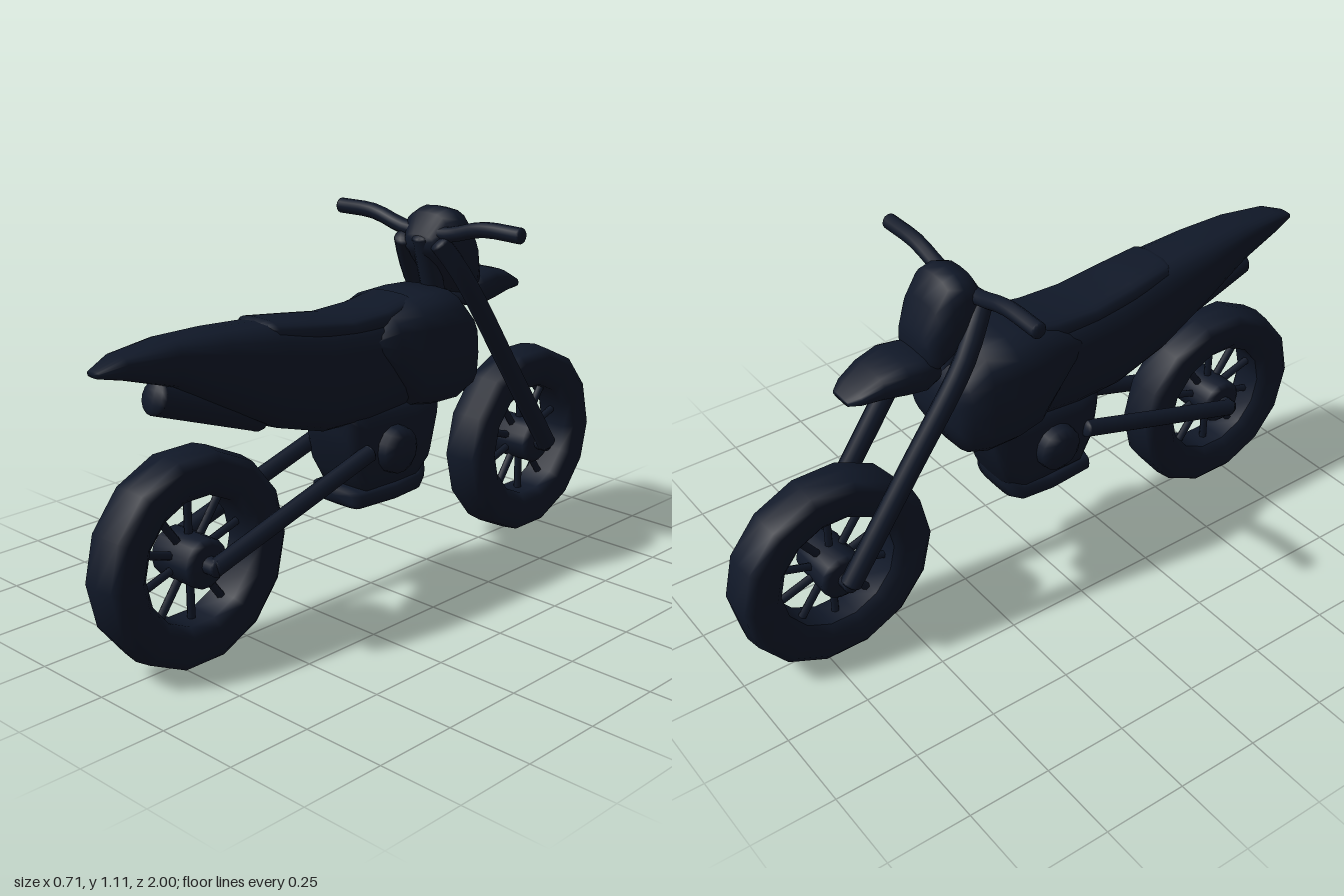
import * as THREE from 'three';

const material = new THREE.MeshStandardMaterial({ color: 0x101828 });

function part(name, geometry, parent) {
  const mesh = new THREE.Mesh(geometry, material);
  mesh.name = name;
  parent.add(mesh);
  return mesh;
}

// Smooth shell through rounded sections [z, bottom, top, halfWidth], ordered from +z to -z
function loft(sections, power = 0.65, n = 20) {
  const pos = [], index = [];
  const soften = (v) => Math.sign(v) * Math.abs(v) ** power;
  for (const [z, y0, y1, w] of sections) {
    for (let j = 0; j < n; j++) {
      const a = (j / n) * Math.PI * 2;
      pos.push(w * soften(Math.cos(a)), (y0 + y1) / 2 + ((y1 - y0) / 2) * soften(Math.sin(a)), z);
    }
  }
  const last = sections.length - 1;
  for (const [z, y0, y1] of [sections[0], sections[last]]) pos.push(0, (y0 + y1) / 2, z);
  const c0 = sections.length * n;
  for (let j = 0; j < n; j++) {
    const k = (j + 1) % n;
    for (let i = 0; i < last; i++) {
      const a = i * n + j, b = i * n + k, d = a + n, c = b + n;
      index.push(a, d, b, b, d, c);
    }
    index.push(c0, j, k, c0 + 1, last * n + k, last * n + j);
  }
  const g = new THREE.BufferGeometry();
  g.setAttribute('position', new THREE.Float32BufferAttribute(pos, 3));
  g.setIndex(index);
  g.computeVertexNormals();
  return g;
}

// Round bar along a path, with slightly domed ends
function bar(name, points, radius, parent) {
  const group = new THREE.Group();
  group.name = name;
  const curve = new THREE.CatmullRomCurve3(points.map((p) => new THREE.Vector3(...p)));
  part(name + 'Tube', new THREE.TubeGeometry(curve, points.length > 2 ? 16 : 1, radius, 10), group);
  for (const t of [0, 1]) {
    const cap = part(name + 'Cap', new THREE.SphereGeometry(radius, 10, 8), group);
    cap.position.copy(curve.getPoint(t));
    cap.lookAt(cap.position.clone().add(curve.getTangent(t)));
    cap.scale.z = 0.4;
  }
  parent.add(group);
}

// Turned shape whose axis runs along x; profile is [radius, x]
function turned(profile, segments) {
  const g = new THREE.LatheGeometry(profile.map(([r, x]) => new THREE.Vector2(r, x)), segments);
  return g.rotateZ(-Math.PI / 2);
}

function wheel(name, z) {
  const g = new THREE.Group();
  g.name = name;
  g.position.set(0, 0.305, z);
  part('tyre', turned([[0.18, -0.045], [0.205, -0.067], [0.275, -0.07], [0.298, -0.052], [0.305, 0],
    [0.298, 0.052], [0.275, 0.07], [0.205, 0.067], [0.18, 0.045], [0.18, -0.045]], 14), g);
  part('hub', turned([[0, -0.082], [0.055, -0.082], [0.07, -0.07], [0.07, 0.07], [0.055, 0.082], [0, 0.082]], 14), g);
  for (let i = 0; i < 10; i++) {
    const spoke = new THREE.CylinderGeometry(0.012, 0.012, 0.15, 6);
    spoke.translate(0, 0.125, 0).rotateX((i / 10) * Math.PI * 2);
    part('spoke', spoke, g);
  }
  return g;
}

export function createModel() {
  const bike = new THREE.Group();
  bike.name = 'dirtBike';

  bike.add(wheel('frontWheel', -0.695), wheel('rearWheel', 0.695));

  // Bodywork
  part('tailBody', loft([
    [0.97, 0.855, 0.872, 0.025], [0.9, 0.838, 0.9, 0.05], [0.75, 0.79, 0.915, 0.075],
    [0.6, 0.705, 0.912, 0.095], [0.42, 0.605, 0.9, 0.112], [0.25, 0.555, 0.872, 0.122],
    [0.1, 0.55, 0.86, 0.125], [-0.05, 0.56, 0.86, 0.12], [-0.2, 0.58, 0.84, 0.1]]), bike);
  part('seat', loft([
    [0.46, 0.86, 0.895, 0.05], [0.43, 0.83, 0.908, 0.085], [0.3, 0.81, 0.89, 0.095],
    [0.16, 0.8, 0.87, 0.1], [0.02, 0.8, 0.875, 0.1], [-0.08, 0.82, 0.893, 0.095], [-0.1, 0.85, 0.885, 0.07]]), bike);
  part('fuelTank', loft([
    [0.1, 0.765, 0.8, 0.115], [0.02, 0.665, 0.86, 0.14], [-0.07, 0.565, 0.889, 0.165],
    [-0.15, 0.55, 0.891, 0.172], [-0.24, 0.545, 0.887, 0.165], [-0.3, 0.565, 0.825, 0.15],
    [-0.33, 0.62, 0.78, 0.12], [-0.34, 0.66, 0.73, 0.07]], 0.6), bike);
  part('headlightMask', loft([
    [-0.2, 0.985, 1.04, 0.055], [-0.235, 0.95, 1.1, 0.085], [-0.28, 0.9, 1.115, 0.098],
    [-0.32, 0.86, 1.105, 0.1], [-0.36, 0.84, 1.04, 0.095], [-0.39, 0.85, 0.96, 0.075], [-0.395, 0.88, 0.93, 0.04]], 0.7), bike);
  part('frontFender', loft([
    [-0.35, 0.81, 0.89, 0.07], [-0.4, 0.797, 0.905, 0.088], [-0.46, 0.808, 0.912, 0.09],
    [-0.53, 0.822, 0.893, 0.08], [-0.59, 0.825, 0.86, 0.063], [-0.62, 0.826, 0.842, 0.04]]), bike);

  // Engine with side covers and a curved guard below
  part('engineBlock', loft([
    [0.18, 0.5, 0.6, 0.08], [0.15, 0.4, 0.6, 0.1], [0.11, 0.33, 0.6, 0.105], [-0.09, 0.32, 0.6, 0.105],
    [-0.15, 0.37, 0.6, 0.1], [-0.19, 0.5, 0.6, 0.09], [-0.205, 0.55, 0.6, 0.07]], 0.5), bike);
  part('engineCovers', turned([[0, -0.15], [0.045, -0.148], [0.068, -0.13], [0.072, -0.1],
    [0.072, 0.1], [0.068, 0.13], [0.045, 0.148], [0, 0.15]], 14).translate(0, 0.462, 0.01), bike);
  part('skidPlate', loft([
    [0.152, 0.31, 0.35, 0.07], [0.14, 0.3, 0.362, 0.1], [0, 0.297, 0.36, 0.11],
    [-0.1, 0.299, 0.37, 0.105], [-0.135, 0.315, 0.4, 0.09], [-0.15, 0.35, 0.42, 0.06]], 0.55), bike);

  bar('muffler', [[0, 0.765, 0.785], [0, 0.642, 0.44]], 0.048, bike);

  // Fork legs and swingarm on both sides
  for (const side of [1, -1]) {
    const name = side > 0 ? 'left' : 'right';
    bar(name + 'ForkLeg', [[side * 0.11, 0.31, -0.695], [side * 0.11, 0.6, -0.495],
      [side * 0.11, 0.87, -0.31], [side * 0.095, 0.95, -0.26], [side * 0.07, 1.02, -0.215]], 0.031, bike);
    bar(name + 'SwingArm', [[side * 0.107, 0.305, 0.695], [side * 0.107, 0.475, 0.12]], 0.026, bike);
  }
  bar('steeringStem', [[0, 0.74, -0.3], [0, 1.03, -0.22]], 0.035, bike);
  for (const z of [-0.695, 0.695]) bar('axle', [[-0.115, 0.305, z], [0.115, 0.305, z]], 0.025, bike);

  bar('handlebar', [[-0.347, 1.078, -0.235], [-0.21, 1.077, -0.235], [-0.08, 1.045, -0.235],
    [0.08, 1.045, -0.235], [0.21, 1.077, -0.235], [0.347, 1.078, -0.235]], 0.023, bike);

  return bike;
}
